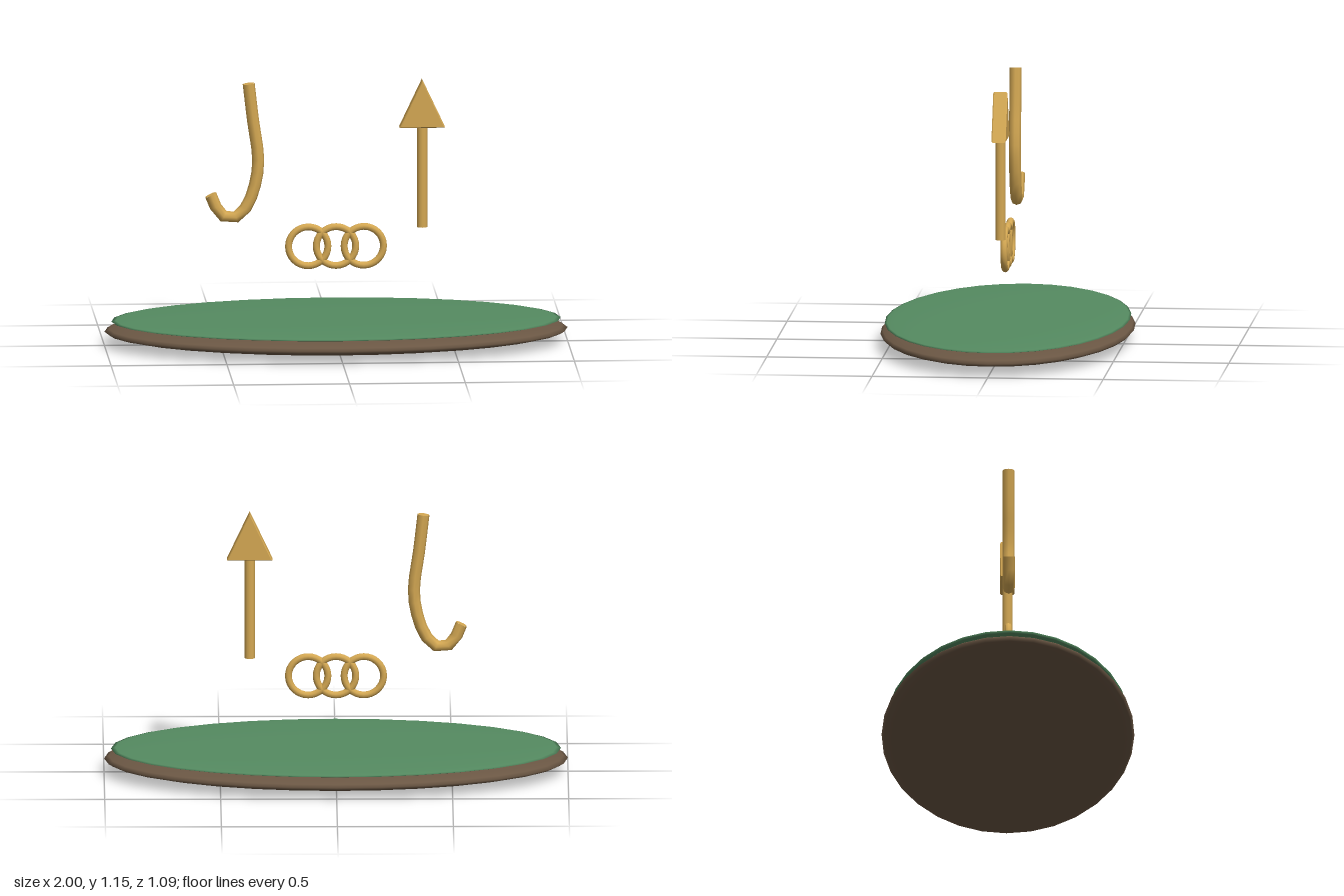
import * as THREE from 'three';

const gold = new THREE.MeshStandardMaterial({ color: 0xd4a853 });
const green = new THREE.MeshStandardMaterial({ color: 0x558b61 });
const brown = new THREE.MeshStandardMaterial({ color: 0x6b5744 });

function add(parent, name, geometry, material, x = 0, y = 0, z = 0) {
  const mesh = new THREE.Mesh(geometry, material);
  mesh.name = name;
  mesh.position.set(x, y, z);
  parent.add(mesh);
  return mesh;
}

// Flattened sphere used for the two layers of the plate
function disc(parent, name, material, y, rx, ry, rz) {
  add(parent, name, new THREE.SphereGeometry(1, 32, 16), material, 0, y, 0).scale.set(rx, ry, rz);
}

// Bent tube with closed ends
function hook() {
  const group = new THREE.Group();
  group.name = 'hook';
  const radius = 0.026, sides = 8;
  const path = new THREE.CatmullRomCurve3([
    [-0.377, 1.14], [-0.357, 0.97], [-0.338, 0.84], [-0.338, 0.76],
    [-0.37, 0.635], [-0.415, 0.567], [-0.46, 0.552], [-0.503, 0.575], [-0.541, 0.655],
  ].map(([x, y]) => new THREE.Vector3(x, y, 0)));
  add(group, 'hookTube', new THREE.TubeGeometry(path, 14, radius, sides), gold);
  for (const t of [0, 1]) {
    const end = path.getPointAt(t);
    const outward = path.getTangentAt(t).multiplyScalar(t ? 1 : -1);
    const cap = add(group, 'hookEnd', new THREE.CircleGeometry(radius, sides), gold, end.x, end.y, end.z);
    cap.quaternion.setFromUnitVectors(new THREE.Vector3(0, 0, 1), outward);
  }
  return group;
}

// Round shaft with a bevelled triangular head
function arrow() {
  const group = new THREE.Group();
  group.name = 'arrow';
  group.position.x = 0.372;
  add(group, 'arrowShaft', new THREE.CylinderGeometry(0.022, 0.022, 0.45, 12), gold, 0, 0.73, 0);
  const outline = new THREE.Shape([
    new THREE.Vector2(-0.098, 0.943), new THREE.Vector2(0.098, 0.943), new THREE.Vector2(0, 1.15),
  ]);
  const bevel = 0.005, depth = 0.062;
  const head = new THREE.ExtrudeGeometry(outline, {
    depth: depth - 2 * bevel, bevelEnabled: true, bevelThickness: bevel,
    bevelSize: bevel, bevelOffset: -bevel, bevelSegments: 1,
  });
  add(group, 'arrowHead', head, gold, 0, 0, -depth / 2 + bevel);
  return group;
}

export function createModel() {
  const model = new THREE.Group();
  model.name = 'emblemPlate';

  // Oval plate
  disc(model, 'plateRim', brown, 0.06, 1, 0.06, 0.545);
  disc(model, 'plateField', green, 0.104, 0.97, 0.019, 0.527);

  // Three linked rings in one plane
  for (const x of [-0.12, 0, 0.12]) {
    add(model, 'chainRing', new THREE.TorusGeometry(0.085, 0.015, 10, 32), gold, x, 0.425, 0);
  }

  model.add(hook(), arrow());
  return model;
}
